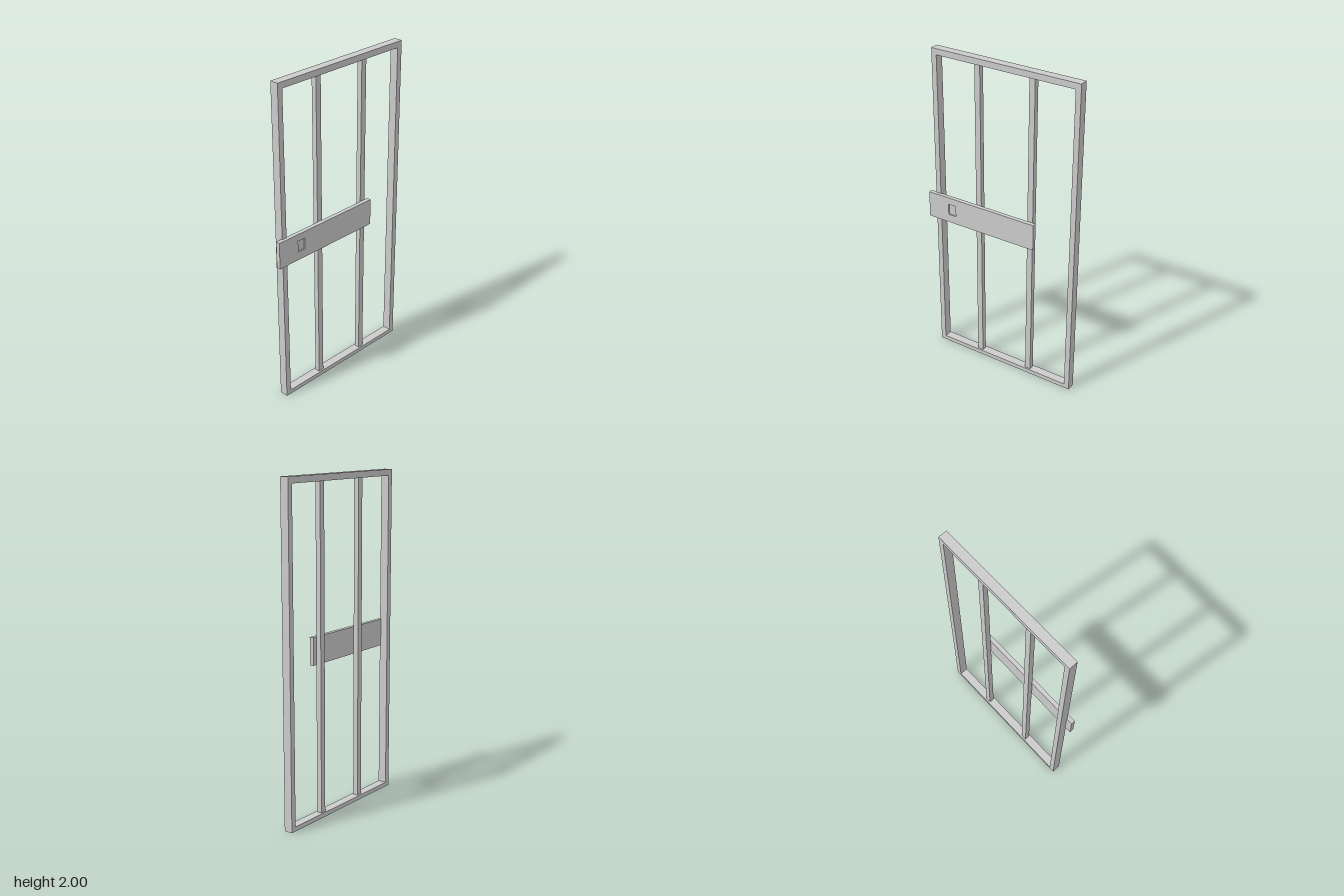
import * as THREE from 'three';

const material = new THREE.MeshStandardMaterial({ color: 0xcccccc, flatShading: true });

export function createModel() {
  const model = new THREE.Group();
  model.name = 'framedPanel';

  // box given by its lower and upper corners
  const addBox = (name, [x0, y0, z0], [x1, y1, z1]) => {
    const mesh = new THREE.Mesh(new THREE.BoxGeometry(x1 - x0, y1 - y0, z1 - z0), material);
    mesh.position.set((x0 + x1) / 2, (y0 + y1) / 2, (z0 + z1) / 2);
    mesh.name = name;
    model.add(mesh);
  };

  const rect = (P, x0, y0, x1, y1) => {
    const p = new P();
    p.moveTo(x0, y0).lineTo(x1, y0).lineTo(x1, y1).lineTo(x0, y1).closePath();
    return p;
  };

  // Outer frame: one rectangular ring
  const left = -0.46, right = 0.5, back = -0.037, front = 0.016;
  const bottomRail = 0.027, topRail = 1.963, stile = 0.033;
  const outline = rect(THREE.Shape, left, 0, right, 2);
  outline.holes.push(rect(THREE.Path, left + stile, bottomRail, right - stile, topRail));
  const frame = new THREE.Mesh(
    new THREE.ExtrudeGeometry(outline, { depth: front - back, bevelEnabled: false }), material);
  frame.position.z = back;
  frame.name = 'outerFrame';
  model.add(frame);

  // Two thinner uprights centred in the frame depth
  for (const x of [-0.158, 0.198]) {
    addBox('upright', [x - 0.018, bottomRail, -0.026], [x + 0.018, topRail, 0.006]);
  }

  // Cross board with a shallow finger recess: solid back layer and pierced front layer
  const bx0 = -0.5, bx1 = 0.238, by0 = 0.92, by1 = 1.085, recessZ = 0.027;
  addBox('crossBoardBack', [bx0, by0, 0.01], [bx1, by1, recessZ]);
  const face = rect(THREE.Shape, bx0, by0, bx1, by1);
  face.holes.push(rect(THREE.Path, -0.358, 0.972, -0.306, 1.042));
  const board = new THREE.Mesh(
    new THREE.ExtrudeGeometry(face, { depth: 0.036 - recessZ, bevelEnabled: false }), material);
  board.position.z = recessZ;
  board.name = 'crossBoardFront';
  model.add(board);

  return model;
}
